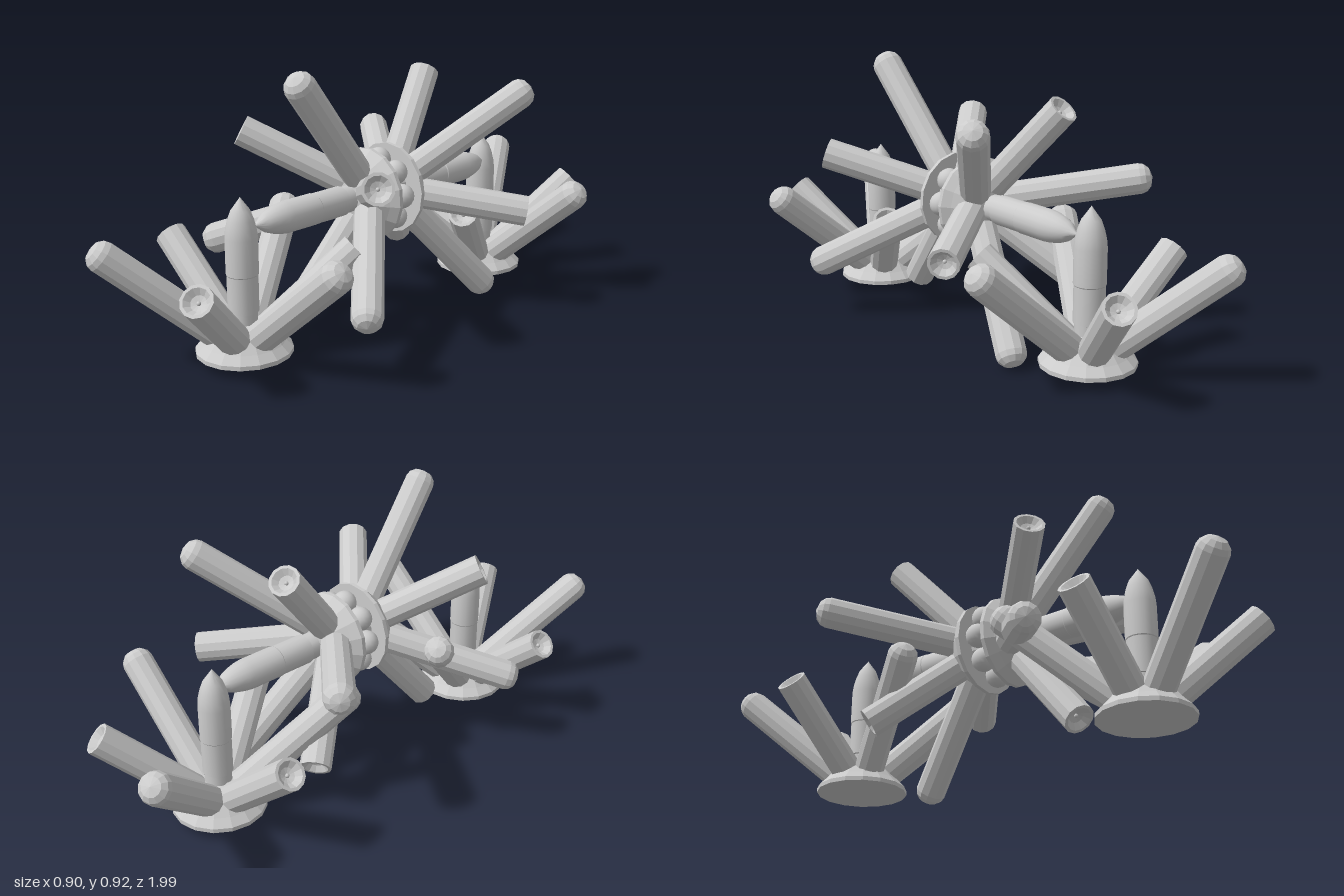
import * as THREE from 'three';
import { toCreasedNormals } from 'three/addons/utils/BufferGeometryUtils.js';

const flat = new THREE.MeshStandardMaterial({ color: 0xcccccc, flatShading: true });
const smooth = new THREE.MeshStandardMaterial({ color: 0xcccccc });
const TILT = THREE.MathUtils.degToRad(40); // rod elevation above the mount plate

const lathe = (points, sides) =>
  new THREE.LatheGeometry(points.map(([r, y]) => new THREE.Vector2(r, y)), sides);

function addMesh(parent, name, geometry, material) {
  const mesh = new THREE.Mesh(geometry, material);
  mesh.name = name;
  parent.add(mesh);
  return mesh;
}

// Shared part shapes, each along +y
const START = 0.1, LONG = 0.553, SHORT = 0.478, R = 0.052;
const domeRodGeo = lathe([
  [0, START], [R, START], [R, LONG], [R * 0.9, LONG + 0.018],
  [R * 0.6, LONG + 0.034], [0, LONG + 0.042],
], 12);
const hollowRodGeo = lathe([
  [0, START], [R, START], [R, SHORT], [0.042, SHORT], [0.025, SHORT - 0.018], [0, SHORT - 0.026],
], 12);
const mountGeo = lathe([
  [0, 0], [0.156, 0], [0.156, 0.014], [0.132, 0.038], [0.105, 0.07], [0.06, 0.098], [0, 0.108],
], 16);
const shellGeo = toCreasedNormals(lathe([
  [0, 0.05], [0.045, 0.05], [0.045, 0.135], [0.05, 0.137], [0.05, 0.257], [0.052, 0.26],
  [0.052, 0.378], [0.049, 0.405], [0.042, 0.435], [0.031, 0.465], [0.017, 0.484], [0, 0.508],
], 16), 0.45);
const pinGeo = new THREE.SphereGeometry(0.007, 8, 6);

// Round mount, a pointed shell in the middle and six splayed rods of two kinds
function createCluster(name) {
  const cluster = new THREE.Group();
  cluster.name = name;
  addMesh(cluster, 'mount', mountGeo, flat);
  addMesh(cluster, 'pointedShell', shellGeo, smooth);
  for (let i = 0; i < 6; i++) {
    const turn = new THREE.Group();
    turn.name = 'rodMount';
    turn.rotation.y = -i * Math.PI / 3;
    const rod = new THREE.Group();
    rod.name = i % 2 ? 'hollowRod' : 'domedRod';
    rod.rotation.z = TILT - Math.PI / 2;
    addMesh(rod, 'tube', i % 2 ? hollowRodGeo : domeRodGeo, flat);
    if (i % 2) addMesh(rod, 'pin', pinGeo, smooth).position.y = SHORT - 0.02;
    turn.add(rod);
    cluster.add(turn);
  }
  return cluster;
}

export function createModel() {
  const model = new THREE.Group();
  model.name = 'rodStructure';

  // Two clusters standing on the ground
  for (const side of [1, -1]) {
    const foot = createCluster(side > 0 ? 'frontFoot' : 'backFoot');
    foot.position.set(-0.02, 0.035, side * 0.58);
    model.add(foot);
  }

  // Raised hub: two clusters back to back, twisted against each other
  const hub = new THREE.Group();
  hub.name = 'hub';
  hub.position.set(0.01, 0.45, 0);
  model.add(hub);
  for (const side of [1, -1]) {
    const half = createCluster(side > 0 ? 'frontHalf' : 'backHalf');
    const twist = THREE.MathUtils.degToRad(side > 0 ? 83 : -48);
    half.rotation.set(side * Math.PI / 2, twist, 0);
    half.position.z = side * 0.045;
    hub.add(half);
  }

  // Bearing between the halves
  const core = addMesh(hub, 'bearingCore', new THREE.CylinderGeometry(0.09, 0.09, 0.1, 16), flat);
  core.rotation.x = Math.PI / 2;
  const ballGeo = new THREE.SphereGeometry(0.041, 16, 10);
  for (let i = 0; i < 8; i++) {
    const a = i * Math.PI / 4;
    addMesh(hub, 'bearingBall', ballGeo, smooth).position.set(0.108 * Math.cos(a), 0.108 * Math.sin(a), 0);
  }
  return model;
}
